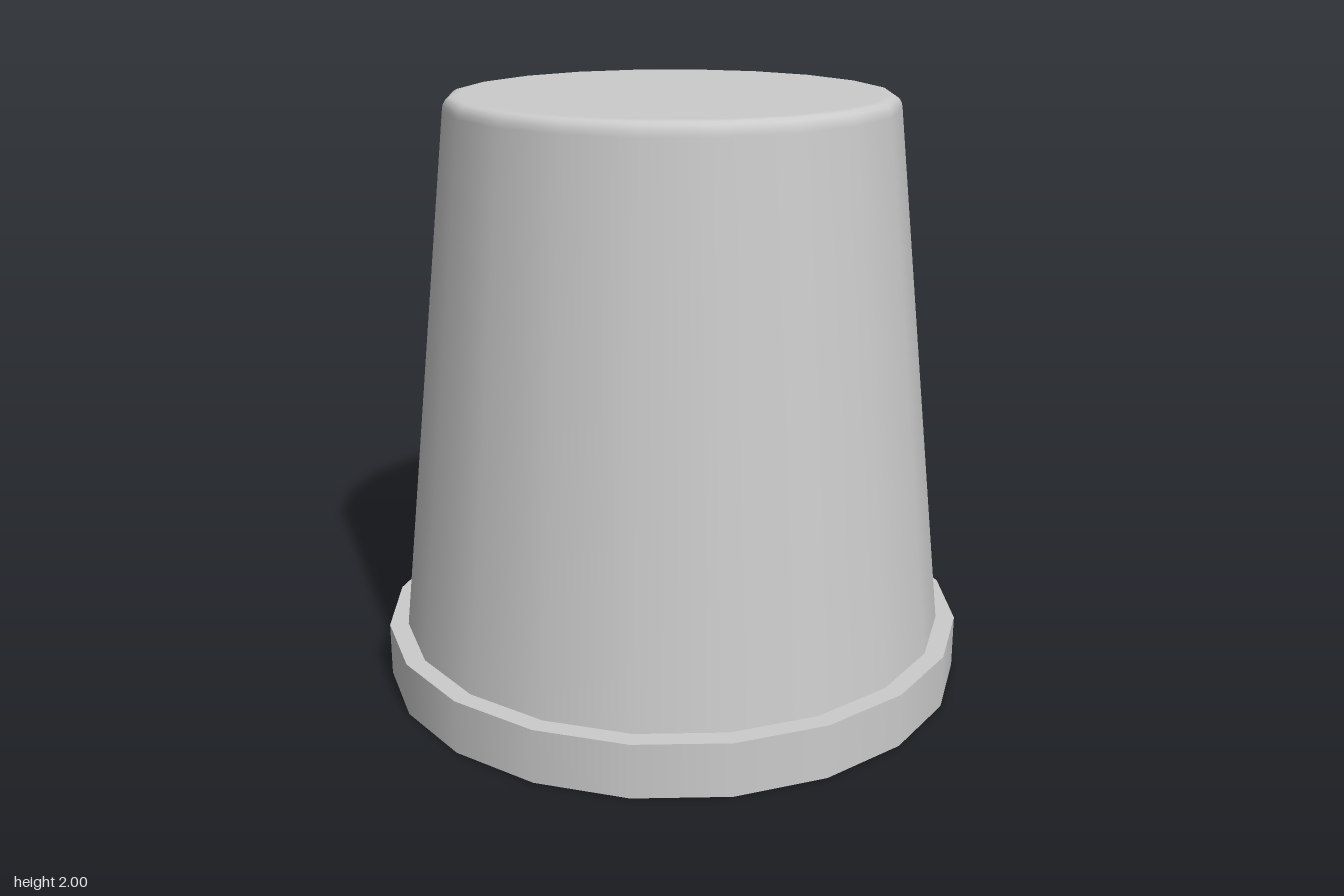
import * as THREE from 'three';

const SIDES = 20;

export function createModel() {
  const group = new THREE.Group();
  group.name = 'upturnedCup';
  // thin open shell, so both sides show
  const material = new THREE.MeshStandardMaterial({ color: 0xcccccc, side: THREE.DoubleSide });

  // turns a profile of [radius, height] points, listed from the bottom up and inwards
  const turn = (name, profile) => {
    const points = profile.map(([r, y]) => new THREE.Vector2(r, y));
    const mesh = new THREE.Mesh(new THREE.LatheGeometry(points, SIDES), material);
    mesh.name = name;
    group.add(mesh);
  };

  // upright band around the open mouth
  turn('rimBand', [[1, 0], [1, 0.183]]);

  // flat ledge joining the band to the wall
  turn('rimLedge', [[1, 0.183], [0.936, 0.183]]);

  // tapered wall, rounded over into the flat closed end
  turn('cupBody', [
    [0.936, 0.183], [0.744, 1.955],
    [0.741, 1.974], [0.732, 1.989], [0.72, 1.997], [0.703, 2],
    [0.69, 2], [0, 2],
  ]);

  return group;
}
